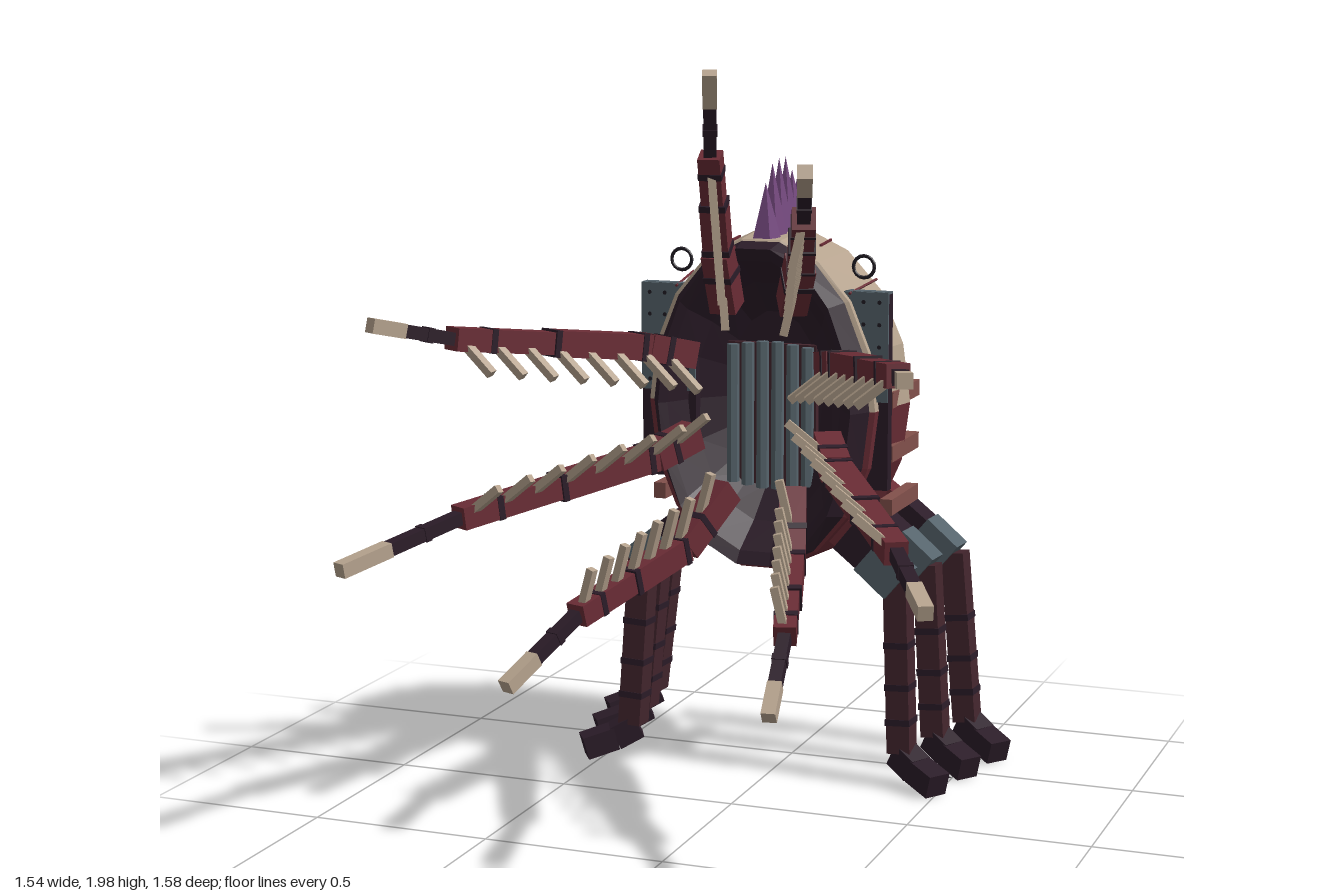
import * as THREE from 'three';

const mat = (name, color) =>
  Object.assign(new THREE.MeshStandardMaterial({ color, flatShading: true }), { name });
const M = {
  cream: mat('cream', 0xb6a38e), red: mat('dark red', 0x6a2c35), plum: mat('dark plum', 0x2b1c28),
  leg: mat('leg maroon', 0x43252d), steel: mat('steel grey', 0x56646c), violet: mat('violet', 0x74487e),
  rose: mat('dull rose', 0x82504b), black: mat('near black', 0x211c24),
};
const V = (a) => new THREE.Vector3(...a);
const Z = V([0, 0, 1]);
const UP = V([0, 1, 0]);

function add(parent, name, geometry, material, x = 0, y = 0, z = 0) {
  const mesh = new THREE.Mesh(geometry, material);
  mesh.name = name;
  mesh.position.set(x, y, z);
  parent.add(mesh);
  return mesh;
}

// Turns a mesh so that its y axis runs from a to b and its z axis leans towards ref
function aim(mesh, a, b, ref) {
  const y = b.clone().sub(a).normalize();
  const x = y.clone().cross(ref).normalize();
  mesh.quaternion.setFromRotationMatrix(new THREE.Matrix4().makeBasis(x, y, x.clone().cross(y)));
  mesh.position.copy(a).add(b).multiplyScalar(0.5);
}

// Square bar between two points
function bar(parent, name, a, b, w, d, material, ref = Z) {
  const mesh = add(parent, name, new THREE.BoxGeometry(w, a.distanceTo(b), d), material);
  aim(mesh, a, b, ref);
}

// Short collar around the line a-b at fraction t
function collar(parent, a, b, t, w, d, ref) {
  const dir = b.clone().sub(a).normalize().multiplyScalar(0.009);
  const p = a.clone().lerp(b, t);
  bar(parent, 'band', p.clone().sub(dir), p.clone().add(dir), w, d, M.plum, ref);
}

// Faceted oval hull: one profile runs from the throat over the rim to the back
function hull() {
  const rings = [
    [-0.40, 0, 0], [-0.40, 0.14, 0.25], [-0.33, 0.21, 0.34], [-0.24, 0.26, 0.41], [-0.22, 0.28, 0.445],
    [-0.28, 0.315, 0.46], [-0.285, 0.33, 0.465], [-0.48, 0.37, 0.48], [-0.68, 0.285, 0.405],
    [-0.79, 0.135, 0.24], [-0.79, 0, 0],
  ];
  const n = 18;
  const faces = [[], [], []];
  const point = ([z, rx, ry], j) => {
    const t = (j / n) * Math.PI * 2;
    return [rx * Math.cos(t), ry * Math.sin(t), z];
  };
  for (let i = 0; i < rings.length - 1; i++) {
    for (let j = 0; j < n; j++) {
      const [a, a2] = [point(rings[i], j), point(rings[i], j + 1)];
      const [b, b2] = [point(rings[i + 1], j), point(rings[i + 1], j + 1)];
      const slot = i < 5 ? 0 : i < 8 && j < n / 2 ? 1 : 2;
      faces[slot].push(...a, ...b, ...a2, ...b, ...b2, ...a2);
    }
  }
  const geometry = new THREE.BufferGeometry();
  geometry.setAttribute('position', new THREE.Float32BufferAttribute(faces.flat(), 3));
  let start = 0;
  faces.forEach((f, i) => {
    geometry.addGroup(start, f.length / 3, i);
    start += f.length / 3;
  });
  geometry.computeVertexNormals();
  return geometry;
}

// Jointed arm: red root segments, dark wrist, pale tip and a row of inner teeth
function tentacle(parent, points) {
  const g = new THREE.Group();
  g.name = 'tentacle';
  parent.add(g);
  const [p0, p1, p2, tip] = points.map(V);
  const half = p1.clone().lerp(p2, 0.5);
  bar(g, 'armRoot', p0, p1, 0.075, 0.075, M.red, UP);
  bar(g, 'armMiddle', p1, half, 0.07, 0.07, M.red, UP);
  bar(g, 'armOuter', half, p2, 0.06, 0.06, M.red, UP);
  collar(g, p0, p1, 0.6, 0.08, 0.08, UP);
  collar(g, p1, p2, 0.04, 0.076, 0.076, UP);
  collar(g, p1, p2, 0.5, 0.072, 0.072, UP);
  collar(g, p1, p2, 0.82, 0.064, 0.064, UP);
  const wrist = p2.clone().lerp(tip, 0.6);
  bar(g, 'armWrist', p2, wrist, 0.034, 0.034, M.plum, UP);
  collar(g, p2, tip, 0.3, 0.039, 0.039, UP);
  bar(g, 'armTip', wrist, tip, 0.038, 0.038, M.cream, UP);
  // Teeth lean towards the middle of the mouth
  const mid = p1.clone().lerp(p2, 0.3);
  const inward = new THREE.Vector3(-0.02 - mid.x, (1.07 - mid.y) * 1.8, 0.04).normalize();
  const along = p2.clone().sub(p1).normalize();
  for (let k = 0; k < 8; k++) {
    const a = k < 1 ? p0.clone().lerp(p1, 0.65) : p1.clone().lerp(p2, (k - 0.7) / 6.6);
    const b = a.clone().addScaledVector(inward, 0.16 - k * 0.005);
    bar(g, 'tooth', a, b, 0.022, 0.022, M.cream, along);
  }
}

// Hip, knee block, banded shin, foot and claw; s picks the side, i counts from the front
function leg(parent, s, z, i) {
  const g = new THREE.Group();
  g.name = 'leg';
  parent.add(g);
  const P = (x, y, dz, spread) => new THREE.Vector3(s * (x + i * spread), y, z + dz);
  bar(g, 'hip', P(0.17, 0.765, 0, 0.015), P(0.27, 0.69, 0, 0.015), 0.085, 0.08, M.red);
  bar(g, 'hipJoint', P(0.235, 0.715, 0, 0.015), P(0.31, 0.655, 0, 0.015), 0.095, 0.09, M.plum);
  bar(g, 'kneeBlock', P(0.30, 0.66, 0, 0.02), P(0.39, 0.585, 0.005, 0.02), 0.1, 0.095, M.steel);
  const top = P(0.38, 0.60, 0, 0.03), ankle = P(0.405, 0.11, 0.025, 0.043);
  bar(g, 'shin', top, ankle, 0.066, 0.072, M.leg);
  [0.38, 0.62, 0.82].forEach((t) => collar(g, top, ankle, t, 0.071, 0.078, Z));
  const heel = P(0.395, 0.105, 0.015, 0.043), ball = P(0.455, 0.07, 0.045, 0.042), toe = P(0.53, 0.045, 0.095, 0.038);
  bar(g, 'heel', heel, ball, 0.07, 0.07, M.plum, UP);
  bar(g, 'foot', ball, toe, 0.07, 0.066, M.plum, UP);
  const root = P(0.44, 0.06, 0.025, 0.042), end = P(0.55, 0.045, 0.012, 0.025);
  const claw = add(g, 'claw', new THREE.ConeGeometry(0.026, root.distanceTo(end), 5), M.black);
  aim(claw, root, end, Z);
}

export function createModel() {
  const model = new THREE.Group();
  model.name = 'creature';
  const body = new THREE.Group();
  body.name = 'body';
  body.position.x = -0.02;
  model.add(body);

  add(body, 'shell', hull(), [M.plum, M.cream, M.red], 0, 1.07, 0);

  // Ribbed throat
  for (let i = 0; i < 6; i++) {
    const x = (i - 2.5) * 0.044;
    const h = 0.42 - Math.abs(i - 2.5) * 0.012;
    add(body, 'throatRib', new THREE.CylinderGeometry(0.018, 0.018, h, 6), M.steel, x, 1.03, -0.36);
  }
  add(body, 'throatPlate', new THREE.BoxGeometry(0.26, 0.4, 0.02), M.leg, 0, 1.03, -0.385);

  // Dorsal spikes
  [0.15, 0.2, 0.21, 0.21, 0.17, 0.16].forEach((h, i) => {
    const spike = add(body, 'spike', new THREE.ConeGeometry(0.042, h, 5), M.violet, 0, 1.53 + h / 2, -0.32 - i * 0.054);
    spike.rotation.y = Math.PI;
  });

  for (const s of [-1, 1]) {
    // Studded side plate
    add(body, 'sidePlate', new THREE.BoxGeometry(0.16, 0.54, 0.035), M.plum, s * 0.28, 1.12, -0.323);
    add(body, 'sidePlateFace', new THREE.BoxGeometry(0.16, 0.3, 0.008), M.steel, s * 0.28, 1.245, -0.302);
    add(body, 'sidePlateTop', new THREE.BoxGeometry(0.16, 0.006, 0.035), M.steel, s * 0.28, 1.393, -0.323);
    for (let r = 0; r < 5; r++) {
      for (const x of [0.29, 0.335]) {
        add(body, 'stud', new THREE.CircleGeometry(0.006, 8), M.black, s * x, 1.124 + r * 0.061, -0.2975);
      }
    }
    // Shoulder ring
    add(body, 'ring', new THREE.TorusGeometry(0.03, 0.005, 6, 16), M.black, s * 0.267, 1.455, -0.37);
    // Flank slats
    for (const y of [0.79, 0.94, 1.09]) {
      add(body, 'slat', new THREE.BoxGeometry(0.035, 0.045, 0.25), M.rose, s * 0.337, y, -0.495);
    }
    // Shell scratches
    bar(body, 'scratch', V([s * 0.252, 1.39, -0.29]), V([s * 0.272, 1.41, -0.47]), 0.006, 0.006, M.red);
    bar(body, 'scratch', V([s * 0.135, 1.506, -0.39]), V([s * 0.135, 1.513, -0.48]), 0.006, 0.006, M.red, V([1, 0, 0]));
    [-0.35, -0.535, -0.715].forEach((z, i) => leg(body, s, z, i));
  }

  // Arms around the mouth: root, elbow, end of red part, tip
  [
    [[-0.11, 1.34, -0.26], [-0.11, 1.5, -0.19], [-0.09, 1.77, -0.08], [-0.056, 1.99, 0.012]],
    [[0.07, 1.35, -0.28], [0.13, 1.48, -0.18], [0.27, 1.64, 0.2], [0.345, 1.775, 0.41]],
    [[-0.22, 1.205, -0.26], [-0.3, 1.24, -0.13], [-0.61, 1.32, 0.42], [-0.735, 1.375, 0.625]],
    [[0.18, 1.195, -0.26], [0.26, 1.22, -0.13], [0.59, 1.29, 0.42], [0.71, 1.335, 0.76]],
    [[-0.21, 0.98, -0.26], [-0.28, 0.935, -0.13], [-0.6, 0.85, 0.42], [-0.755, 0.775, 0.78]],
    [[0.18, 0.98, -0.26], [0.25, 0.935, -0.13], [0.59, 0.85, 0.42], [0.75, 0.78, 0.705]],
    [[-0.12, 0.83, -0.27], [-0.19, 0.69, -0.12], [-0.33, 0.58, 0.28], [-0.42, 0.44, 0.53]],
    [[0.08, 0.83, -0.27], [0.13, 0.68, -0.12], [0.22, 0.55, 0.19], [0.25, 0.39, 0.395]],
  ].forEach((points) => tentacle(model, points));

  return model;
}
